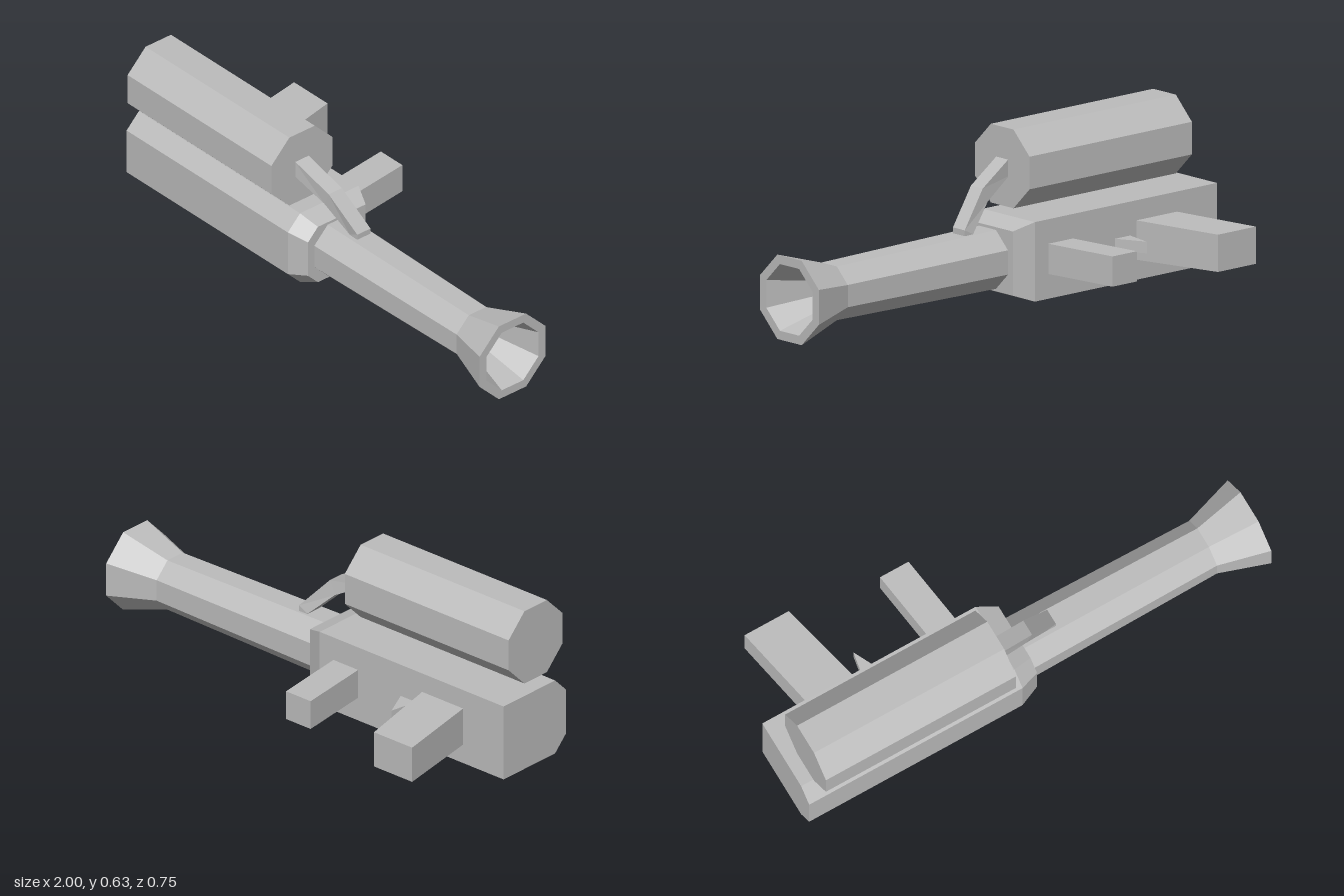
import * as THREE from 'three';

const grey = new THREE.MeshStandardMaterial({ color: 0xbcbcbc });
grey.name = 'plain grey';
grey.flatShading = true;

// Closed, faceted solid through a row of rings with equal point counts
function loft(name, rings) {
  const tris = [];
  const n = rings[0].length;
  for (let r = 0; r < rings.length - 1; r++) {
    for (let i = 0; i < n; i++) {
      const j = (i + 1) % n, a = rings[r], b = rings[r + 1];
      tris.push([a[i], a[j], b[j]], [a[i], b[j], b[i]]);
    }
  }
  const first = rings[0], last = rings[rings.length - 1];
  for (let i = 1; i < n - 1; i++) {
    tris.push([first[0], first[i + 1], first[i]], [last[0], last[i], last[i + 1]]);
  }
  // Turn the faces outward if the rings run the other way round
  const v = (p) => new THREE.Vector3(...p);
  const volume = tris.reduce((s, [a, b, c]) => s + v(a).dot(v(b).cross(v(c))), 0);
  if (volume < 0) tris.forEach((t) => t.reverse());
  const geometry = new THREE.BufferGeometry();
  geometry.setAttribute('position', new THREE.Float32BufferAttribute(tris.flat(2), 3));
  geometry.computeVertexNormals();
  const mesh = new THREE.Mesh(geometry, grey);
  mesh.name = name;
  return mesh;
}

// Octagon with flat top, across the x axis
function octagon(x, y, z, apothem) {
  const radius = apothem / Math.cos(Math.PI / 8);
  return Array.from({ length: 8 }, (_, i) => {
    const a = (i + 0.5) * Math.PI / 4;
    return [x, y + radius * Math.sin(a), z + radius * Math.cos(a)];
  });
}

// Body section: square at the back, chamfered at the front
function bodyRing(x, back, front, bottom, top, chamfer) {
  return [
    [x, top, back], [x, top, front - chamfer], [x, top - chamfer, front],
    [x, bottom + chamfer, front], [x, bottom, front - chamfer], [x, bottom, back],
  ];
}

// Rectangle across the z axis
function gripRing(z, x0, x1, y0, y1) {
  return [[x0, y0, z], [x1, y0, z], [x1, y1, z], [x0, y1, z]];
}

// Pipe section between a lower and an upper edge
function pipeRing(xLow, yLow, xHigh, yHigh, z0, z1) {
  return [[xLow, yLow, z0], [xHigh, yHigh, z0], [xHigh, yHigh, z1], [xLow, yLow, z1]];
}

export function createModel() {
  const model = new THREE.Group();
  model.name = 'launcher';

  // Main body with tapered nose
  model.add(loft('body', [
    bodyRing(-1, -0.013, 0.335, 0.01, 0.315, 0.06),
    bodyRing(-0.08, -0.013, 0.335, 0.01, 0.315, 0.06),
    bodyRing(0, 0.021, 0.305, 0.04, 0.286, 0.049),
  ]));

  // Barrel, flared muzzle and hollow inside, as one skin
  const barrel = [[-0.01, 0.113], [0.8, 0.103], [1, 0.162], [1, 0.128], [0.81, 0.072]];
  model.add(loft('barrel', barrel.map(([x, r]) => octagon(x, 0.1625, 0.161, r))));

  // Tank above the body
  model.add(loft('tank', [-0.95, -0.13].map((x) => octagon(x, 0.48, 0.222, 0.151))));

  // Bent pipe from tank to barrel
  model.add(loft('feedPipe', [
    pipeRing(-0.135, 0.447, -0.135, 0.513, 0.19, 0.256),
    pipeRing(0, 0.376, 0.025, 0.43, 0.16, 0.225),
    pipeRing(0.105, 0.275, 0.148, 0.296, 0.125, 0.19),
    pipeRing(0.105, 0.265, 0.148, 0.265, 0.125, 0.19),
  ]));

  // Grips and trigger on the back
  model.add(loft('rearGrip', [
    gripRing(-0.01, -0.797, -0.592, 0.087, 0.238),
    gripRing(-0.374, -0.866, -0.675, 0.091, 0.234),
  ]));
  model.add(loft('foreGrip', [
    gripRing(-0.01, -0.272, -0.148, 0.105, 0.221),
    gripRing(-0.323, -0.312, -0.189, 0.105, 0.221),
  ]));
  model.add(loft('trigger', [0.14, 0.185].map((y) => [
    [-0.562, y, -0.01], [-0.484, y, -0.01], [-0.541, y, -0.127],
  ])));

  return model;
}
